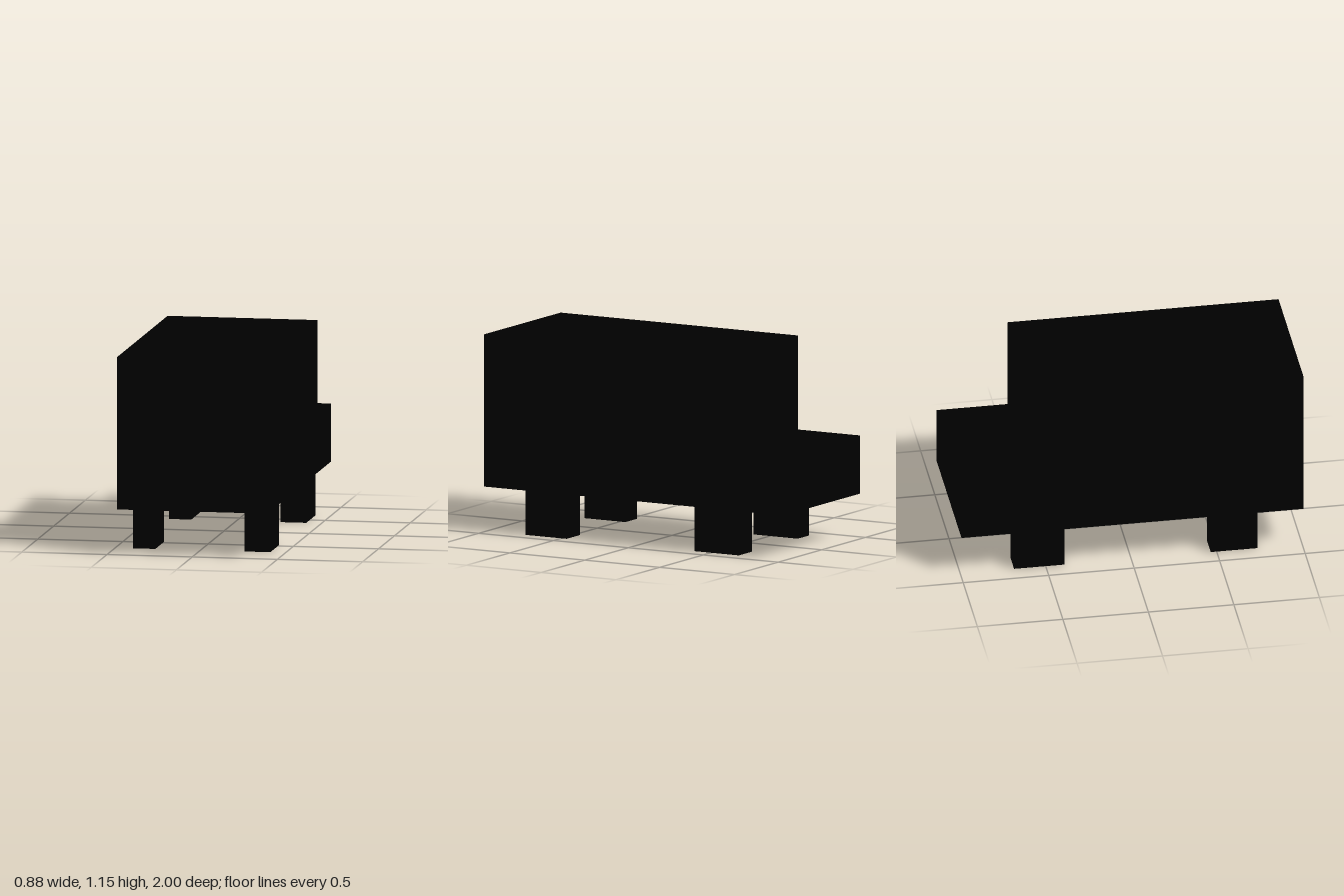
import * as THREE from 'three';

export function createModel() {
  const model = new THREE.Group();
  model.name = 'blockVan';
  const black = new THREE.MeshStandardMaterial({ color: 0x000000, flatShading: true });

  // Body: stepped side profile (shape x runs along -z), extruded across the width
  const halfWidth = 0.44, floor = 0.265, roof = 1.155, ledge = 0.605, step = 0.585;
  const profile = new THREE.Shape([
    [-1, floor], [1, floor], [1, ledge], [step, ledge], [step, roof], [-1, roof],
  ].map(([x, y]) => new THREE.Vector2(x, y)));
  const bodyGeometry = new THREE.ExtrudeGeometry(profile, { depth: halfWidth * 2, bevelEnabled: false });
  bodyGeometry.translate(0, 0, -halfWidth).rotateY(Math.PI / 2);
  const body = new THREE.Mesh(bodyGeometry, black);
  body.name = 'body';
  model.add(body);

  // Block wheels: the left pair is slightly wider, the back pair slightly longer
  const sides = { Left: [0.258, 0.41], Right: [-0.395, -0.265] };
  const axles = { front: [0.465, 0.74], back: [-0.685, -0.39] };
  for (const [end, [z0, z1]] of Object.entries(axles)) {
    for (const [side, [x0, x1]] of Object.entries(sides)) {
      const wheel = new THREE.Mesh(new THREE.BoxGeometry(x1 - x0, floor, z1 - z0), black);
      wheel.position.set((x0 + x1) / 2, floor / 2, (z0 + z1) / 2);
      wheel.name = `${end}${side}Wheel`;
      model.add(wheel);
    }
  }

  return model;
}
